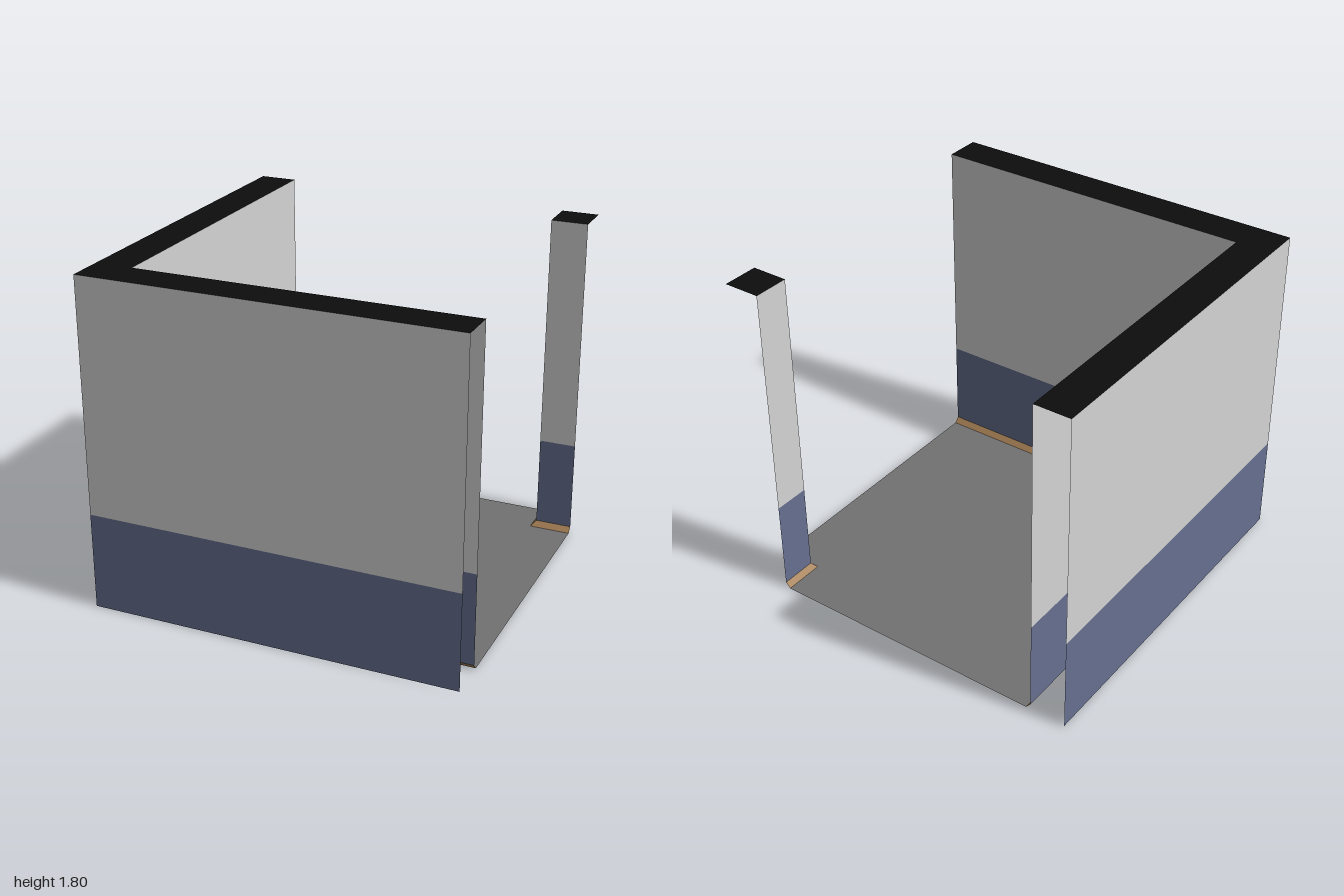
import * as THREE from 'three';

const HEIGHT = 1.8, BAND = 0.527, TRIM = 0.03;

function paint(name, color) {
  const m = new THREE.MeshStandardMaterial({ color, side: THREE.DoubleSide });
  m.name = name;
  return m;
}

// Vertical or sloped ribbon between two [x, z] paths, one quad per segment
function ribbon(name, material, bottom, y0, top, y1) {
  const pos = [];
  for (let i = 0; i < bottom.length - 1; i++) {
    const a = [bottom[i][0], y0, bottom[i][1]];
    const b = [bottom[i + 1][0], y0, bottom[i + 1][1]];
    const c = [top[i + 1][0], y1, top[i + 1][1]];
    const d = [top[i][0], y1, top[i][1]];
    pos.push(...a, ...b, ...c, ...a, ...c, ...d);
  }
  const g = new THREE.BufferGeometry();
  g.setAttribute('position', new THREE.Float32BufferAttribute(pos, 3));
  g.computeVertexNormals();
  const mesh = new THREE.Mesh(g, material);
  mesh.name = name;
  return mesh;
}

// Flat horizontal sheet from an [x, z] outline
function sheet(name, material, outline, y) {
  const shape = new THREE.Shape(outline.map(([x, z]) => new THREE.Vector2(x, -z)));
  const mesh = new THREE.Mesh(new THREE.ShapeGeometry(shape).rotateX(-Math.PI / 2), material);
  mesh.name = name;
  mesh.position.y = y;
  return mesh;
}

export function createModel() {
  const white = paint('wall white', 0xd4d4d4);
  const blue = paint('wall blue', 0x667090);
  const black = paint('cut black', 0x0d0d0d);
  const grey = paint('floor grey', 0x727272);
  const wood = paint('skirting wood', 0xa68055);

  const model = new THREE.Group();
  model.name = 'room';

  // Wall faces: white above a blue band
  const wallFace = (name, path, y0) => {
    const face = new THREE.Group();
    face.name = name;
    face.add(
      ribbon(name + 'Lower', blue, path, y0, path, BAND),
      ribbon(name + 'Upper', white, path, BAND, path, HEIGHT)
    );
    model.add(face);
  };

  const outer = [[-1, -1], [-1, 1], [1, 1]];
  const inner = [[1, 0.8], [-0.8, 0.8], [-0.8, -1]];
  const post = [[0.8, -1], [0.8, -0.8], [1, -0.8]];
  wallFace('outerWall', outer, 0);
  wallFace('innerWall', inner, TRIM);
  wallFace('cornerPost', post, TRIM);

  // Sloped skirting with mitred corners
  const innerFoot = [[1, 0.774], [-0.774, 0.774], [-0.774, -1]];
  const postFoot = [[0.774, -1], [0.774, -0.774], [1, -0.774]];
  model.add(
    ribbon('wallSkirting', wood, innerFoot, 0, inner, TRIM),
    ribbon('postSkirting', wood, postFoot, 0, post, TRIM)
  );

  // Dark wall tops and the floor
  model.add(
    sheet('wallTop', black, [...outer, ...inner], HEIGHT),
    sheet('postTop', black, [...post, [1, -1]], HEIGHT),
    sheet('floor', grey, [...innerFoot, ...postFoot], 0)
  );
  return model;
}
